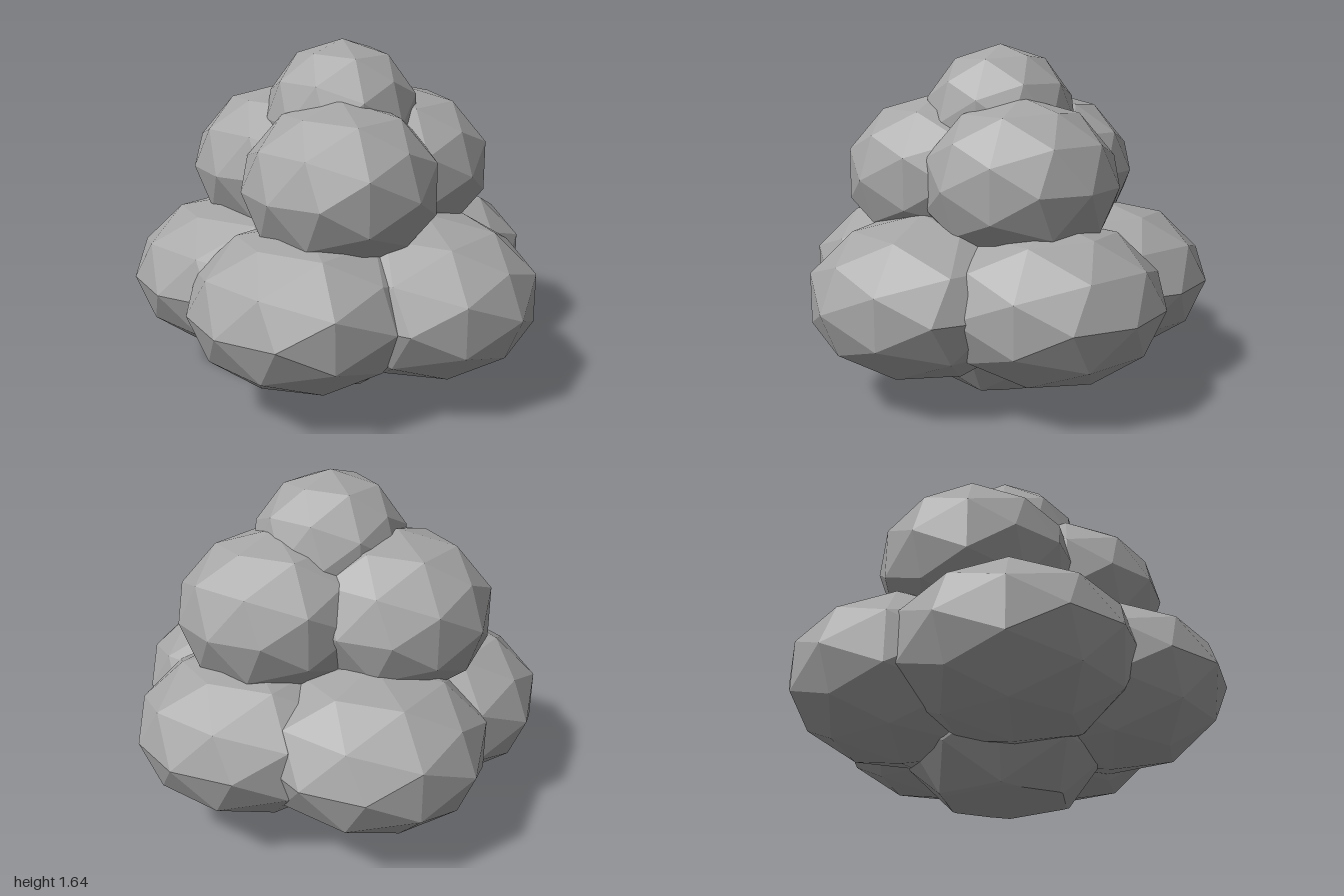
import * as THREE from 'three';
import { ConvexGeometry } from 'three/addons/geometries/ConvexGeometry.js';

// Faceted ball squashed to the given radii
function ball(x, y, z, r, ry) {
  return new THREE.IcosahedronGeometry(1, 1).scale(r, ry, r).translate(x, y, z);
}

// Convex geometry cut flat at the ground
function cutAtGround(geometry) {
  const pos = geometry.attributes.position;
  const points = [];
  for (let i = 0; i < pos.count; i += 3) {
    for (let k = 0; k < 3; k++) {
      const a = new THREE.Vector3().fromBufferAttribute(pos, i + k);
      const b = new THREE.Vector3().fromBufferAttribute(pos, i + ((k + 1) % 3));
      if (a.y >= 0) points.push(a);
      if (a.y * b.y < 0) {
        // order the ends so shared edges give identical points
        const [low, high] = a.y < b.y ? [a, b] : [b, a];
        const p = low.clone().lerp(high, -low.y / (high.y - low.y));
        p.y = 0;
        points.push(p);
      }
    }
  }
  return new ConvexGeometry(points);
}

export function createModel() {
  const model = new THREE.Group();
  model.name = 'clumpedBush';
  const grey = new THREE.MeshStandardMaterial({ color: 0xa6a6a6 });
  grey.name = 'plain grey';
  grey.flatShading = true;

  const add = (name, geometry) => {
    const mesh = new THREE.Mesh(geometry, grey);
    mesh.name = name;
    model.add(mesh);
  };

  // Core with a flat foot
  add('core', cutAtGround(ball(-0.01, 0.47, -0.04, 0.54, 0.57)));

  // Lower ring of five wide clumps
  const lower = { Front: [0.02, 0.46], Left: [0.46, 0.08], Right: [-0.46, 0.15], BackLeft: [0.25, -0.46], BackRight: [-0.32, -0.42] };
  for (const [side, [x, z]] of Object.entries(lower)) {
    add('lowerClump' + side, ball(x, 0.503, z, 0.54, 0.378));
  }

  // Middle ring of three clumps
  const middle = { Left: [0.27, 0.08], Right: [-0.24, 0.17], Back: [-0.07, -0.36] };
  for (const [side, [x, z]] of Object.entries(middle)) {
    add('middleClump' + side, ball(x, 1.02, z, 0.46, 0.39));
  }

  // Top clump
  add('topClump', ball(-0.01, 1.285, -0.03, 0.37, 0.36));

  return model;
}
